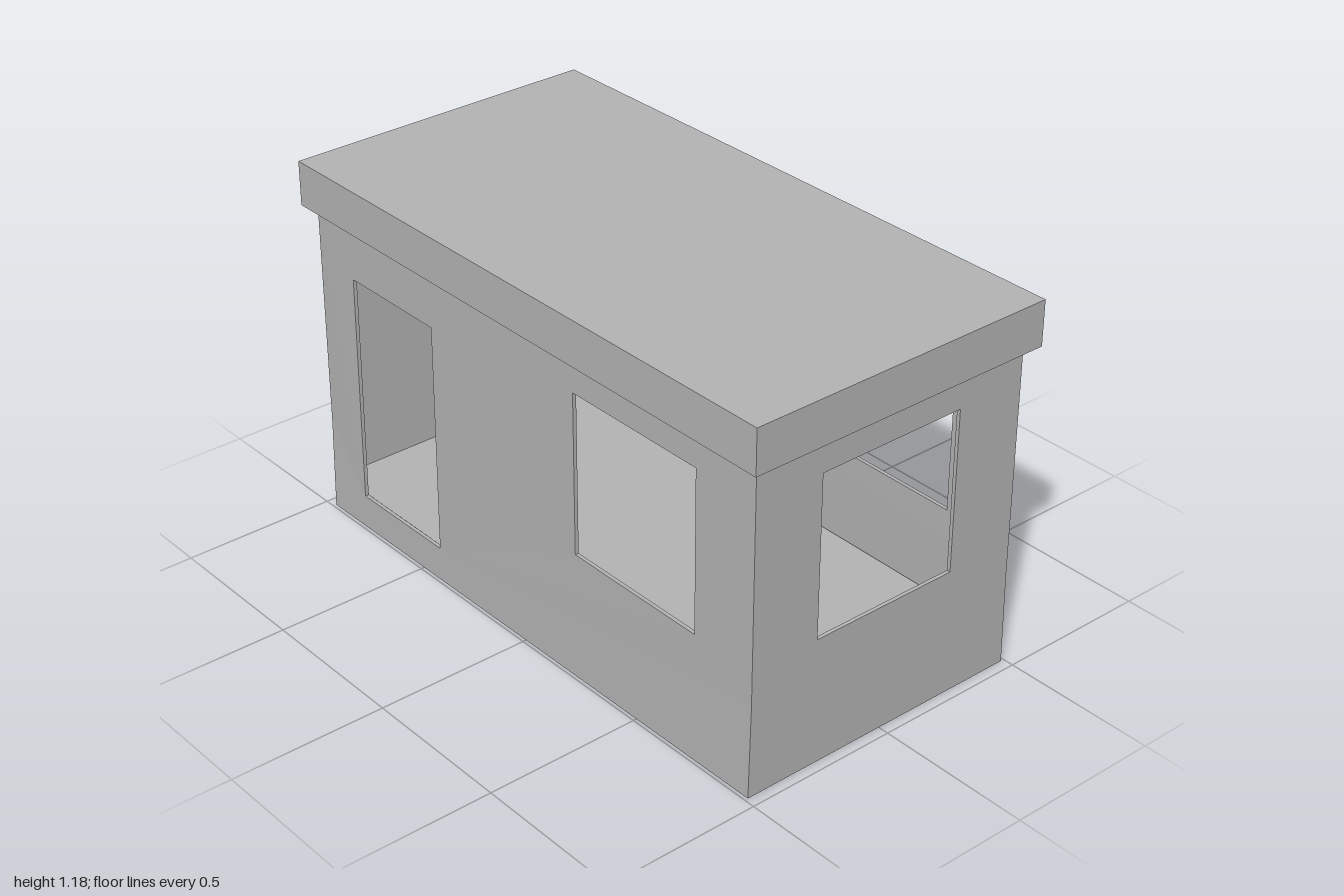
import * as THREE from 'three';

const W = 0.965, D = 0.483, T = 0.012;      // half width, half depth, wall thickness
const WALL_TOP = 1.17, FLARE_TOP = 0.3, FLARE = 0.006;

// Closed path around a rectangle
function rectPath(x0, x1, y0, y1, Type = THREE.Path) {
  const p = new Type();
  p.moveTo(x0, y0);
  p.lineTo(x1, y0);
  p.lineTo(x1, y1);
  p.lineTo(x0, y1);
  p.closePath();
  return p;
}

// Wall panel with openings [x0, x1, y0, y1]; its outer face lies at z = 0
function wallGeometry(half, openings) {
  const s = new THREE.Shape([
    [-half, 0], [half, 0], [half, FLARE_TOP], [half, WALL_TOP],
    [-half, WALL_TOP], [-half, FLARE_TOP],
  ].map(([x, y]) => new THREE.Vector2(x, y)));
  openings.forEach((o) => s.holes.push(rectPath(...o)));
  return new THREE.ExtrudeGeometry(s, { depth: T, bevelEnabled: false }).translate(0, 0, -T);
}

// Splay the foot of the walls slightly outward in z
function splay(geometry) {
  const p = geometry.attributes.position;
  for (let i = 0; i < p.count; i++) {
    const z = p.getZ(i), y = p.getY(i);
    if (Math.abs(z) > 0.4 && y < FLARE_TOP) {
      p.setZ(i, z + Math.sign(z) * FLARE * (1 - y / FLARE_TOP));
    }
  }
  geometry.computeVertexNormals();
  return geometry;
}

export function createModel() {
  const group = new THREE.Group();
  const grey = new THREE.MeshStandardMaterial({ color: 0xb3b3b3 });
  grey.name = 'plain grey';

  const add = (name, geometry, x = 0, y = 0, z = 0) => {
    const mesh = new THREE.Mesh(geometry, grey);
    mesh.name = name;
    mesh.position.set(x, y, z);
    group.add(mesh);
  };

  // Walls: door and window in front, two windows behind, one on the left side
  const door = [-0.8, -0.415, 0.11, 0.86];
  const windowA = [0.23, 0.735, 0.41, 0.93];
  const windowB = [-0.735, -0.23, 0.41, 0.93];
  const sideWindow = [-0.25, 0.25, 0.41, 0.93];
  const walls = [
    ['frontWall', W, [door, windowA], 0, 0, D],
    ['backWall', W, [windowA, windowB], Math.PI, 0, -D],
    ['leftWall', D - T, [sideWindow], Math.PI / 2, W, 0],
    ['rightWall', D - T, [], -Math.PI / 2, -W, 0],
  ];
  for (const [name, half, openings, turn, x, z] of walls) {
    add(name, splay(wallGeometry(half, openings).rotateY(turn).translate(x, 0, z)));
  }

  // Raised floor and ceiling between the walls
  const slab = new THREE.BoxGeometry(2 * (W - T), 0.01, 2 * (D - T));
  add('floor', slab, 0, 0.101, 0);
  add('ceiling', slab, 0, 1.015, 0);

  // Roof: flat top over a hollow overhanging fascia
  const RX = 1, RZ = 0.517, RT = 0.01, TOP = 1.183, BOTTOM = 1.04;
  add('roofTop', new THREE.BoxGeometry(2 * RX, RT, 2 * RZ), 0, TOP - RT / 2, 0);
  const rim = rectPath(-RX, RX, -RZ, RZ, THREE.Shape);
  rim.holes.push(rectPath(-RX + RT, RX - RT, -RZ + RT, RZ - RT));
  const fascia = new THREE.ExtrudeGeometry(rim, { depth: TOP - RT - BOTTOM, bevelEnabled: false });
  add('roofFascia', fascia.rotateX(-Math.PI / 2), 0, BOTTOM, 0);

  return group;
}
